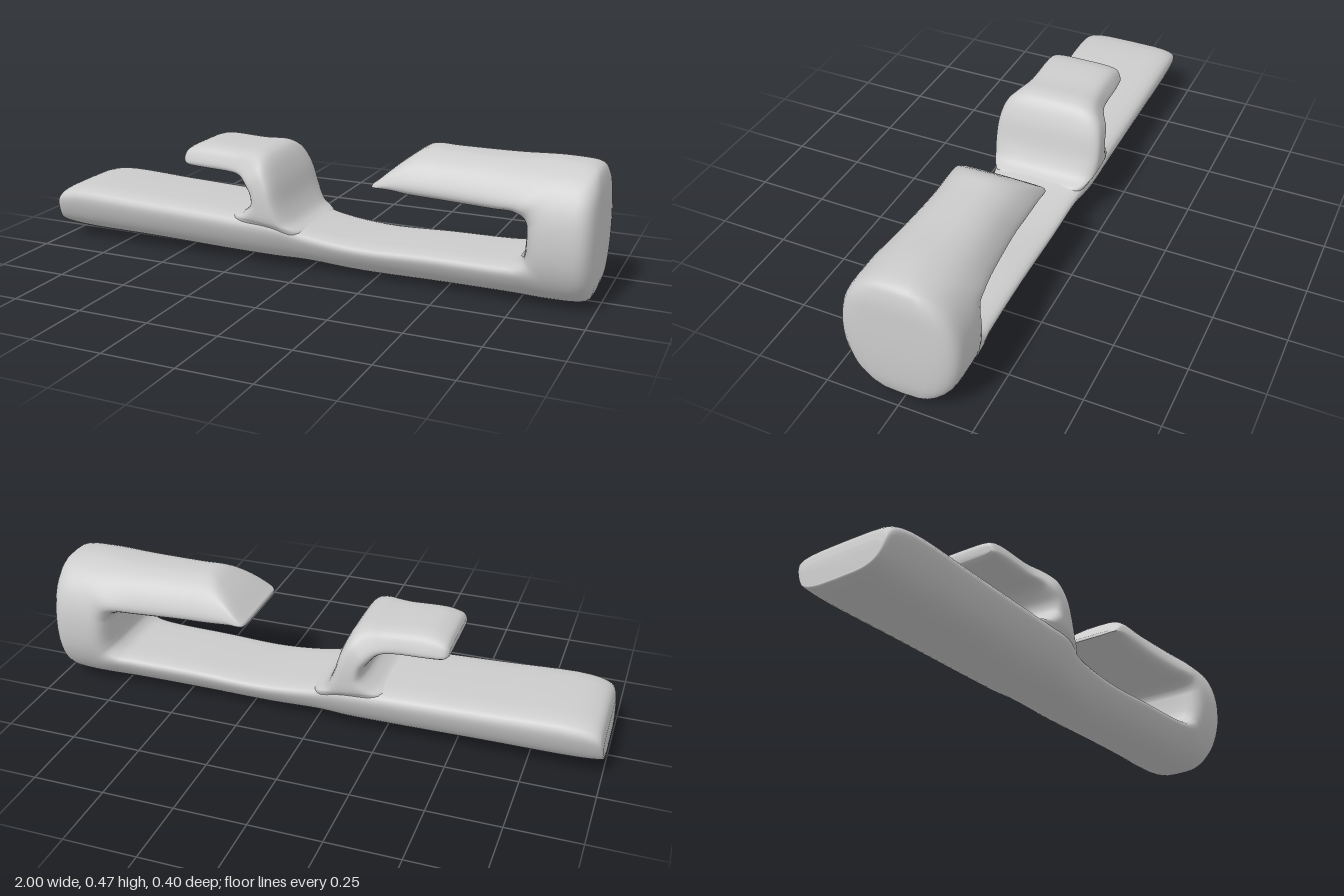
import * as THREE from 'three';

// Half-width in z of the oval bar at height y
const halfWidth = (y) => 0.2 * Math.sqrt(Math.max(0, 1 - Math.abs((y - 0.238) / 0.245) ** 2.2));

// Skin rings between an outer and an inner edge line.
// Each section: [outerX, outerY, innerX, innerY, widthScale]
function sweep(name, sections, material, steps = 5, around = 36) {
  const outer = new THREE.CatmullRomCurve3(sections.map(s => new THREE.Vector3(s[0], s[1], s[4])));
  const inner = new THREE.CatmullRomCurve3(sections.map(s => new THREE.Vector3(s[2], s[3], s[4])));
  const rings = (sections.length - 1) * steps;
  const pos = [], index = [];
  for (let i = 0; i <= rings; i++) {
    const a = outer.getPoint(i / rings), b = inner.getPoint(i / rings);
    for (let j = 0; j < around; j++) {
      const t = (j / around) * Math.PI * 2;
      const s = (1 - Math.cos(t)) / 2;
      const x = a.x + (b.x - a.x) * s, y = a.y + (b.y - a.y) * s;
      const round = Math.max(0, 1 - Math.abs(Math.cos(t)) ** 5) ** 0.25;
      pos.push(x, y, Math.sign(Math.round(Math.sin(t) * 1e6)) * halfWidth(y) * round * a.z);
    }
  }
  for (let i = 0; i < rings; i++) {
    for (let j = 0; j < around; j++) {
      const k = (j + 1) % around, p = i * around, q = p + around;
      index.push(p + j, q + j, p + k, q + j, q + k, p + k);
    }
  }
  // Close both ends with a fan
  for (const [ring, flip] of [[0, false], [rings, true]]) {
    const t = ring / rings, c = pos.length / 3;
    const m = outer.getPoint(t).add(inner.getPoint(t)).multiplyScalar(0.5);
    pos.push(m.x, m.y, 0);
    for (let j = 0; j < around; j++) {
      const p = ring * around + j, k = ring * around + (j + 1) % around;
      index.push(c, flip ? k : p, flip ? p : k);
    }
  }
  const geometry = new THREE.BufferGeometry();
  geometry.setAttribute('position', new THREE.Float32BufferAttribute(pos, 3));
  geometry.setIndex(index);
  geometry.computeVertexNormals();
  const mesh = new THREE.Mesh(geometry, material);
  mesh.name = name;
  return mesh;
}

export function createModel() {
  const group = new THREE.Group();
  group.name = 'clip';
  const material = new THREE.MeshStandardMaterial({ color: 0xcccccc });

  // Long bar that turns up through the thick end wall and back as the large arm
  group.add(sweep('barAndLargeArm', [
    [-1.0, 0.065, -0.995, 0.14, 0.85],
    [-0.99, 0.05, -0.97, 0.195, 0.97],
    [-0.9, 0.035, -0.9, 0.215, 1],
    [-0.6, 0.03, -0.6, 0.207, 1],
    [-0.25, 0.018, -0.25, 0.195, 1],
    [-0.12, 0.018, -0.1, 0.19, 1],
    [0.0, 0.02, 0.0, 0.155, 0.92],
    [0.2, 0.002, 0.2, 0.132, 0.93],
    [0.45, 0.008, 0.45, 0.138, 0.92],
    [0.7, 0.01, 0.69, 0.142, 0.95],
    [0.86, 0.006, 0.74, 0.15, 1],
    [0.965, 0.02, 0.762, 0.17, 1],
    [0.985, 0.06, 0.768, 0.19, 1],
    [0.995, 0.15, 0.77, 0.21, 1],
    [0.995, 0.32, 0.77, 0.255, 1],
    [0.988, 0.42, 0.768, 0.275, 1],
    [0.97, 0.46, 0.755, 0.295, 1],
    [0.88, 0.475, 0.73, 0.308, 1],
    [0.7, 0.468, 0.66, 0.308, 0.92],
    [0.5, 0.468, 0.48, 0.313, 0.86],
    [0.41, 0.468, 0.38, 0.318, 0.88],
    [0.34, 0.425, 0.31, 0.328, 0.88],
    [0.27, 0.365, 0.265, 0.335, 0.86],
    [0.252, 0.35, 0.25, 0.338, 0.72],
  ], material));

  // Small hook rising from the bar and curling over it
  group.add(sweep('smallHook', [
    [0.02, 0.1, -0.28, 0.1, 0.9],
    [0.01, 0.145, -0.28, 0.18, 0.95],
    [-0.04, 0.175, -0.23, 0.2, 1],
    [-0.072, 0.23, -0.19, 0.235, 1],
    [-0.1, 0.32, -0.19, 0.265, 1],
    [-0.13, 0.38, -0.21, 0.295, 1],
    [-0.17, 0.41, -0.24, 0.318, 0.92],
    [-0.26, 0.412, -0.29, 0.323, 0.82],
    [-0.4, 0.416, -0.39, 0.327, 0.82],
    [-0.45, 0.4, -0.445, 0.332, 0.8],
    [-0.468, 0.375, -0.466, 0.345, 0.72],
  ], material));
  return group;
}
